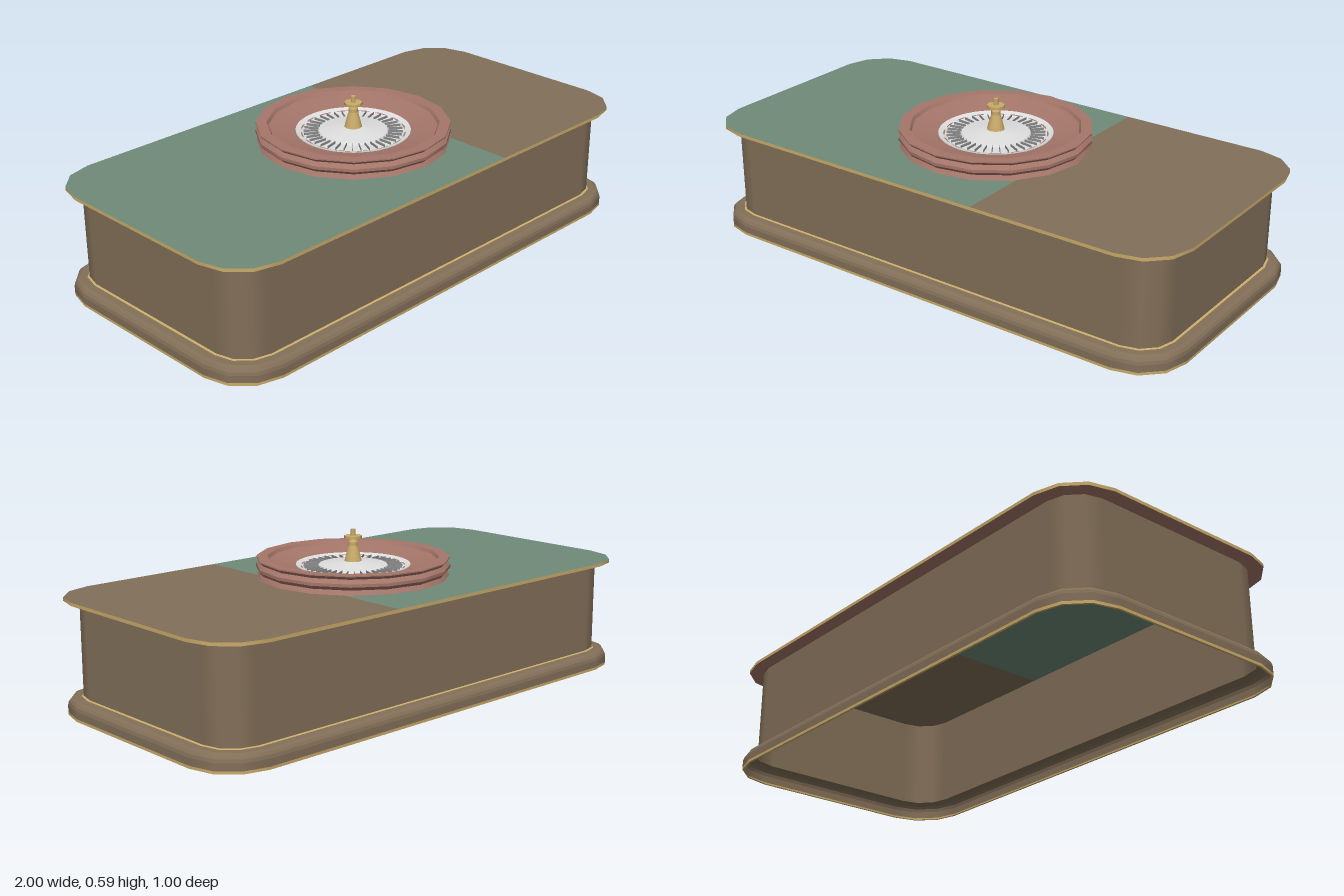
import * as THREE from 'three';
import { mergeGeometries } from 'three/addons/utils/BufferGeometryUtils.js';

const mat = (name, color, side = THREE.DoubleSide) => {
  const m = new THREE.MeshStandardMaterial({ color, side });
  m.name = name;
  return m;
};

const HALF_X = 1, HALF_Z = 0.5, RADIUS = 0.18, CORNER_STEPS = 3;

// Rounded rectangle outline, moved inwards by inset; each point keeps its outward direction
function outline(inset) {
  const pts = [];
  const r = RADIUS - inset;
  const centres = [[1, 1], [-1, 1], [-1, -1], [1, -1]];
  centres.forEach(([sx, sz], q) => {
    for (let i = 0; i <= CORNER_STEPS; i++) {
      const a = (q + i / CORNER_STEPS) * Math.PI / 2;
      const c = Math.cos(a), s = Math.sin(a);
      pts.push({ x: sx * (HALF_X - RADIUS) + r * c, z: sz * (HALF_Z - RADIUS) + r * s, c, s });
    }
  });
  return pts;
}

// Sweeps an [inset, y] profile around the outline
function sweep(profile) {
  const pos = [], nor = [], idx = [];
  for (let k = 0; k < profile.length - 1; k++) {
    const [i0, y0] = profile[k], [i1, y1] = profile[k + 1];
    const len = Math.hypot(i1 - i0, y1 - y0);
    const nr = (y1 - y0) / len, ny = (i1 - i0) / len;
    const base = pos.length / 3;
    const low = outline(i0), high = outline(i1), n = low.length;
    for (let j = 0; j < n; j++) {
      pos.push(low[j].x, y0, low[j].z, high[j].x, y1, high[j].z);
      for (let t = 0; t < 2; t++) nor.push(nr * low[j].c, ny, nr * low[j].s);
      const a = base + 2 * j, b = base + 2 * ((j + 1) % n);
      idx.push(a, a + 1, b + 1, a, b + 1, b);
    }
  }
  const g = new THREE.BufferGeometry();
  g.setAttribute('position', new THREE.Float32BufferAttribute(pos, 3));
  g.setAttribute('normal', new THREE.Float32BufferAttribute(nor, 3));
  g.setIndex(idx);
  return g;
}

// Lathe with a sharp edge at every profile point
function sharpLathe(profile, sides) {
  const bands = [];
  for (let i = 0; i < profile.length - 1; i++) {
    const pair = [profile[i], profile[i + 1]].map(([r, y]) => new THREE.Vector2(r, y));
    bands.push(new THREE.LatheGeometry(pair, sides));
  }
  return mergeGeometries(bands);
}

// One side of the table top, cut by a straight line at x = cut
function topPanel(cut, side) {
  const pts = outline(0).filter(p => side * (p.x - cut) > 0).map(p => [p.x, p.z]);
  pts.push([cut, HALF_Z], [cut, -HALF_Z]);
  const mid = cut + side * 0.4;
  pts.sort((a, b) => Math.atan2(a[1], a[0] - mid) - Math.atan2(b[1], b[0] - mid));
  const shape = new THREE.Shape(pts.map(([x, z]) => new THREE.Vector2(x, -z)));
  return new THREE.ShapeGeometry(shape).rotateX(-Math.PI / 2).translate(0, 0.42, 0);
}

export function createModel() {
  const model = new THREE.Group();
  model.name = 'rouletteTable';
  const brown = mat('brownWood', 0x826f58);
  const green = mat('greenFelt', 0x6f8a78);
  const red = mat('redWood', 0xa5766a);
  const gold = mat('goldTrim', 0xcaab6a);
  const white = mat('paleMetal', 0xdedede);
  const grey = mat('greyMetal', 0x8c8c8c);
  const add = (name, geometry, material, parent = model) => {
    const mesh = new THREE.Mesh(geometry, material);
    mesh.name = name;
    parent.add(mesh);
    return mesh;
  };

  // Hollow body and moulded base, both open underneath
  add('bodyWall', sweep([[0.055, 0.06], [0.055, 0.41]]), brown);
  add('baseMoulding', sweep([[0, 0.01], [0, 0.036], [0.003, 0.048], [0.01, 0.057],
    [0.022, 0.063], [0.047, 0.064]]), brown);
  add('baseTrim', sweep([[0.008, 0], [0, 0], [0, 0.01]]), gold);
  add('wallTrim', sweep([[0.047, 0.064], [0.055, 0.066]]), gold);

  // Table top: two coloured panels, gold edge, overhang underneath
  add('feltPanel', topPanel(0.26, -1), green);
  add('woodPanel', topPanel(0.26, 1), brown);
  add('topEdge', sweep([[0, 0.408], [0, 0.42]]), gold);
  add('overhangUnderside', sweep([[0.055, 0.408], [0, 0.408]]), red);

  // Wheel
  const wheel = new THREE.Group();
  wheel.name = 'wheel';
  model.add(wheel);
  add('wheelBowl', sharpLathe([[0.353, 0.421], [0.343, 0.437], [0.356, 0.45], [0.356, 0.461],
    [0.343, 0.475], [0.355, 0.486], [0.355, 0.49], [0.315, 0.49], [0.308, 0.478], [0.19, 0.455]], 16), red, wheel);
  add('wheelDisc', sharpLathe([[0.21, 0.456], [0.21, 0.462], [0.18, 0.452], [0.13, 0.452],
    [0.125, 0.46], [0.02, 0.474]], 48), white, wheel);

  // Pocket dividers
  const dividers = [];
  const count = 37;
  for (let i = 0; i < count; i++) {
    dividers.push(new THREE.BoxGeometry(0.052, 0.01, 0.002).translate(0.155, 0.456, 0)
      .rotateY(i / count * Math.PI * 2));
  }
  add('pocketDividers', mergeGeometries(dividers), grey, wheel);

  // Central turret with handle plate and knob
  add('turret', sharpLathe([[0.034, 0.465], [0.028, 0.49], [0.017, 0.53], [0.017, 0.543],
    [0.009, 0.557]], 12), gold, wheel);
  add('turretPlate', new THREE.CylinderGeometry(0.033, 0.033, 0.009, 8).translate(0, 0.5615, 0), gold, wheel);
  add('turretKnob', new THREE.CylinderGeometry(0.009, 0.009, 0.024, 8).translate(0, 0.578, 0), gold, wheel);

  return model;
}
